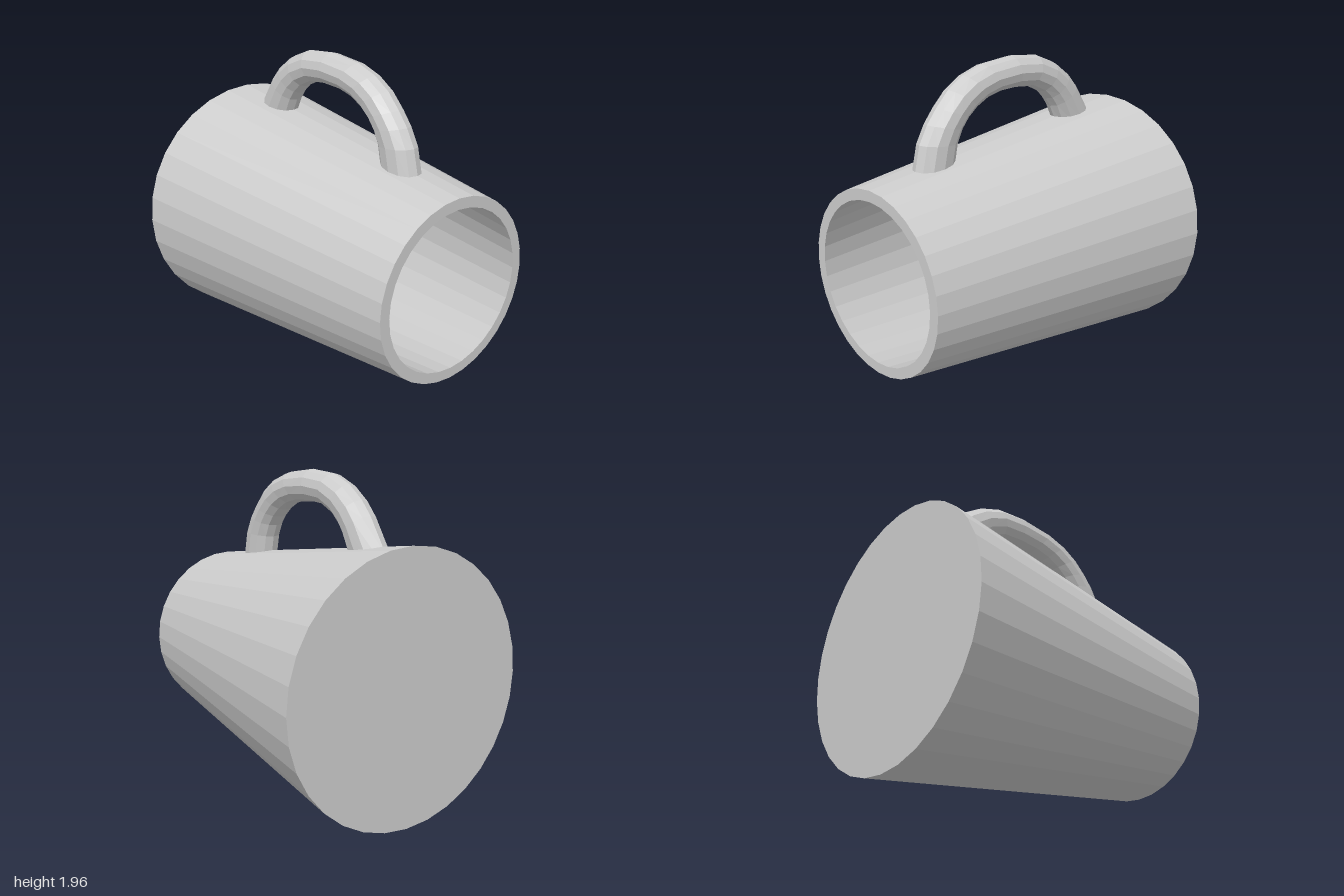
import * as THREE from 'three';

const material = new THREE.MeshStandardMaterial({ color: 0xcccccc, flatShading: true });

// Tapered hollow body: base disc, outer wall, rim, inner wall, inner floor
function createBody() {
  const profile = [
    [0, -1], [0.795, -1], [0.555, 1], [0.49, 1], [0.725, -0.94], [0, -0.94],
  ].map(([r, y]) => new THREE.Vector2(r, y));
  const body = new THREE.Mesh(new THREE.LatheGeometry(profile, 32), material);
  body.name = 'cupBody';
  body.rotation.x = Math.PI / 2; // opening faces the front
  body.position.y = 0.8;
  return body;
}

// Arched handle: elliptical sections, each spanning an outer and an inner point
function createHandle() {
  const sides = 12, halfWidth = 0.097;
  // outer z, outer y, inner z, inner y; both ends are sunk into the wall
  const sections = [
    [0.69, 1.35, 0.41, 1.38], [0.645, 1.54, 0.382, 1.519],
    [0.585, 1.647, 0.345, 1.594], [0.515, 1.733, 0.297, 1.652],
    [0.425, 1.824, 0.233, 1.701], [0.313, 1.893, 0.147, 1.743],
    [0.168, 1.941, 0.045, 1.765], [-0.072, 1.965, -0.094, 1.77],
    [-0.286, 1.946, -0.222, 1.759], [-0.436, 1.888, -0.329, 1.711],
    [-0.553, 1.807, -0.388, 1.658], [-0.634, 1.722, -0.43, 1.604],
    [-0.775, 1.52, -0.485, 1.49],
  ];
  const positions = [], indices = [];
  sections.forEach(([oz, oy, iz, iy], s) => {
    for (let k = 0; k < sides; k++) {
      const a = (k / sides) * Math.PI * 2;
      const t = (1 - Math.cos(a)) / 2; // 0 on the outer edge, 1 on the inner
      positions.push(
        halfWidth * Math.sin(a),
        THREE.MathUtils.lerp(oy, iy, t),
        THREE.MathUtils.lerp(oz, iz, t),
      );
      if (s === sections.length - 1) continue;
      const p = s * sides + k, q = s * sides + ((k + 1) % sides);
      indices.push(p, q, p + sides, q, q + sides, p + sides);
    }
  });
  const geometry = new THREE.BufferGeometry();
  geometry.setAttribute('position', new THREE.Float32BufferAttribute(positions, 3));
  geometry.setIndex(indices);
  geometry.computeVertexNormals();
  const handle = new THREE.Mesh(geometry, material);
  handle.name = 'handle';
  return handle;
}

export function createModel() {
  const model = new THREE.Group();
  model.name = 'mug';
  model.add(createBody(), createHandle());
  return model;
}
